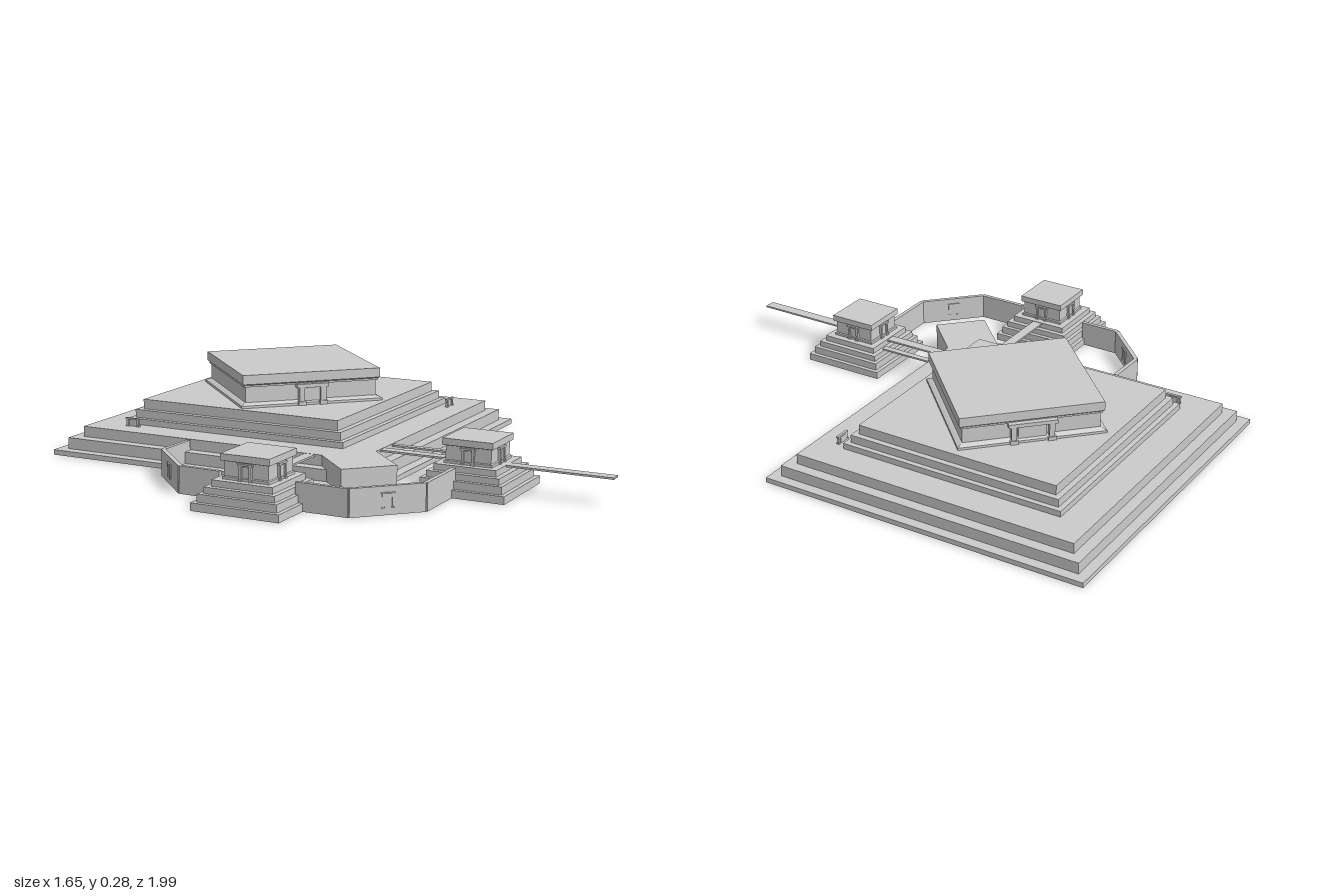
import * as THREE from 'three';

const material = new THREE.MeshStandardMaterial({ color: 0xcccccc, flatShading: true, side: THREE.DoubleSide });

function add(parent, name, geometry, x = 0, y = 0, z = 0, turn = 0) {
  const mesh = new THREE.Mesh(geometry, material);
  mesh.name = name;
  mesh.position.set(x, y, z);
  mesh.rotation.y = turn;
  parent.add(mesh);
  return mesh;
}

const box = (w, h, d) => new THREE.BoxGeometry(w, h, d);

// Four-sided hollow shell from [half diagonal, height] pairs; corners lie on x and z
function shell(profile) {
  return new THREE.LatheGeometry(profile.map(([r, y]) => new THREE.Vector2(r, y)), 4);
}

// Stepped profile from [half diagonal, top height] of each tier
function steps(tiers, base = 0) {
  const points = [];
  let y = base;
  for (const [r, top] of tiers) {
    points.push([r, y], [r, top]);
    y = top;
  }
  return points;
}

// Straight slab between two plan points [x, z]
function span(parent, name, a, b, width, bottom, top) {
  const dx = b[0] - a[0], dz = b[1] - a[1];
  return add(parent, name, box(Math.hypot(dx, dz), top - bottom, width),
    (a[0] + b[0]) / 2, (bottom + top) / 2, (a[1] + b[1]) / 2, -Math.atan2(dz, dx));
}

// Door with two posts, lintel and a recessed leaf; faces +z before turning
function doorway(name, halfWidth, height, post) {
  const door = new THREE.Group();
  door.name = name;
  for (const s of [-1, 1]) {
    add(door, 'doorPost', box(post, height, post), s * halfWidth, height / 2, 0);
    add(door, 'postFoot', box(post * 1.5, post * 0.7, post * 1.5), s * halfWidth, post * 0.35, 0);
  }
  add(door, 'lintel', box(halfWidth * 2 + post * 2, post * 0.7, post * 1.3), 0, height, 0);
  add(door, 'doorLeaf', box(halfWidth * 1.5, height * 0.85, post * 0.5), 0, height * 0.43, -post * 0.4);
  return door;
}

function pavilion(name) {
  const group = new THREE.Group();
  group.name = name;
  const base = steps([[0.21, 0.025], [0.19, 0.05], [0.17, 0.07], [0.146, 0.09]]);
  add(group, 'pavilionBase', shell([...base, [0.108, 0.09]]));
  add(group, 'pavilionWalls', shell([[0.113, 0.09], [0.113, 0.098], [0.106, 0.1], [0.106, 0.145]]));
  add(group, 'pavilionRoof', shell([[0.1, 0.143], [0.118, 0.147], [0.118, 0.168], [0, 0.168]]));
  // One door on each diagonal face
  for (let i = 0; i < 4; i++) {
    const turn = Math.PI / 4 + i * Math.PI / 2, d = 0.079;
    const door = doorway('pavilionDoor', 0.017, 0.05, 0.008);
    door.position.set(Math.sin(turn) * d, 0.09, Math.cos(turn) * d);
    door.rotation.y = turn;
    group.add(door);
  }
  return group;
}

// Thin tall gallery along a path, with a small gate at the middle of one stretch
function gallery(parent, name, path, gateIndex) {
  const group = new THREE.Group();
  group.name = name;
  path.slice(1).forEach((p, i) => span(group, 'galleryWall', path[i], p, 0.014, 0, 0.088));
  const a = path[gateIndex], b = path[gateIndex + 1];
  const turn = -Math.atan2(b[1] - a[1], b[0] - a[0]);
  for (const side of [0, Math.PI]) {
    const gate = doorway('galleryGate', 0.016, 0.045, 0.006);
    gate.position.set((a[0] + b[0]) / 2 + Math.sin(turn + side) * 0.007, 0.022,
      (a[1] + b[1]) / 2 + Math.cos(turn + side) * 0.007);
    gate.rotation.y = turn + side;
    group.add(gate);
  }
  parent.add(group);
}

export function createModel() {
  const model = new THREE.Group();
  model.name = 'terracedComplex';
  const cz = -0.175;

  // Main terraces, hollow underneath
  const tiers = steps([[0.825, 0.017], [0.775, 0.055], [0.722, 0.09], [0.57, 0.11], [0.545, 0.137], [0.517, 0.17]]);
  add(model, 'mainTerraces', shell([...tiers, [0, 0.17]]), 0, 0, cz);

  // Central hall, square to the axes
  const hall = new THREE.Group();
  hall.name = 'hall';
  hall.position.set(0, 0.17, -0.168);
  const square = pts => shell(pts.map(([h, y]) => [h * Math.SQRT2, y]));
  add(hall, 'hallWalls', square([[0.244, 0], [0.244, 0.008], [0.232, 0.014], [0.226, 0.016], [0.226, 0.068]]), 0, 0, 0, Math.PI / 4);
  add(hall, 'hallRoof', square([[0.22, 0.066], [0.232, 0.068], [0.232, 0.074], [0.237, 0.078], [0.237, 0.109], [0, 0.109]]), 0, 0, 0, Math.PI / 4);
  for (const [turn, width] of [[0, 0.037], [Math.PI, 0.062]]) {
    const door = doorway('hallDoor', width, 0.065, 0.018);
    door.position.set(0, 0, Math.cos(turn) * 0.238);
    door.rotation.y = turn;
    hall.add(door);
  }
  model.add(hall);

  // Small side entrances at the foot of the upper terraces
  for (const s of [-1, 1]) {
    const door = doorway('terraceDoor', 0.02, 0.026, 0.007);
    door.position.set(s * 0.535, 0.09, -0.125);
    door.rotation.y = s * Math.PI / 4;
    door.position.x += s * 0.03;
    model.add(door);
  }

  // Front projection, open below
  const front = new THREE.Group();
  front.name = 'frontProjection';
  add(front, 'projectionTop', box(0.18, 0.004, 0.25), 0, 0.088, 0.527);
  add(front, 'projectionFront', box(0.18, 0.088, 0.004), 0, 0.044, 0.65);
  for (const s of [-1, 1]) add(front, 'projectionSide', box(0.004, 0.088, 0.19), s * 0.088, 0.044, 0.556);
  model.add(front);

  // Corner pavilions and the bridges to the terraces
  for (const s of [-1, 1]) {
    const p = pavilion(s < 0 ? 'rightPavilion' : 'leftPavilion');
    p.position.set(s * 0.35, 0, 0.66);
    model.add(p);
    span(model, 'terraceBridge', [s * 0.275, 0.585], [s * 0.12, 0.43], 0.036, 0.084, 0.09);
  }
  span(model, 'sideBridge', [0.31, 0.515], [0.175, 0.38], 0.022, 0.084, 0.09);
  span(model, 'longBridge', [0.42, 0.735], [0.662, 0.977], 0.038, 0.084, 0.09);

  // Galleries linking the pavilions and the terraces
  gallery(model, 'frontGallery', [[-0.26, 0.745], [-0.138, 0.868], [0.1, 0.868], [0.245, 0.725]], 1);
  gallery(model, 'sideGallery', [[-0.44, 0.553], [-0.54, 0.45], [-0.54, 0.22], [-0.435, 0.12]], 1);

  return model;
}
